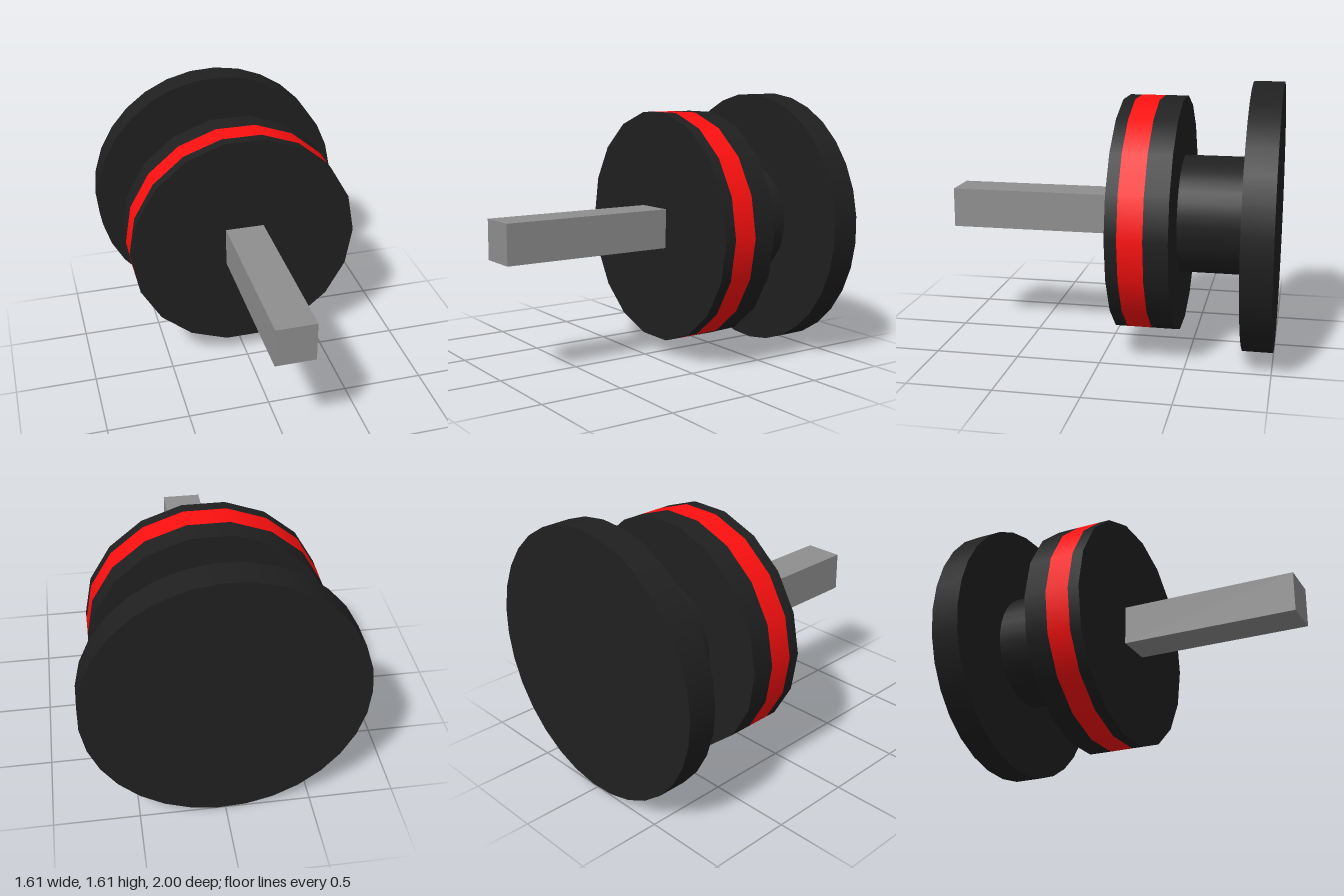
import * as THREE from 'three';

const CX = 0.002, CY = 0.808; // shared axis along z

const black = new THREE.MeshStandardMaterial({ color: 0x202020 });
const red = new THREE.MeshStandardMaterial({ color: 0xff1010 });
const steel = new THREE.MeshStandardMaterial({ color: 0x8f8f8f });

// Round section along z between two depths, with a corner on the -x side
function disc(name, radius, zBack, zFront, sides, material, open = false) {
  const geo = new THREE.CylinderGeometry(radius, radius, zFront - zBack, sides, 1, open, -Math.PI / 2);
  geo.rotateX(Math.PI / 2);
  const mesh = new THREE.Mesh(geo, material);
  mesh.name = name;
  mesh.position.set(CX, CY, (zBack + zFront) / 2);
  return mesh;
}

export function createModel() {
  const group = new THREE.Group();
  group.name = 'knob';

  // Turned body, back to front
  group.add(
    disc('handleFlange', 0.808, -1, -0.822, 31, black),
    disc('neck', 0.356, -0.822, -0.427, 32, black),
    disc('collarBack', 0.713, -0.427, -0.287, 18, black),
    disc('collarBand', 0.713, -0.287, -0.142, 18, red, true),
    disc('collarFront', 0.713, -0.142, -0.072, 18, black),
  );

  // Square spindle
  const spindle = new THREE.Mesh(new THREE.BoxGeometry(0.24, 0.24, 1.072), steel);
  spindle.name = 'spindle';
  spindle.position.set(CX, CY, 0.464);
  group.add(spindle);

  return group;
}
